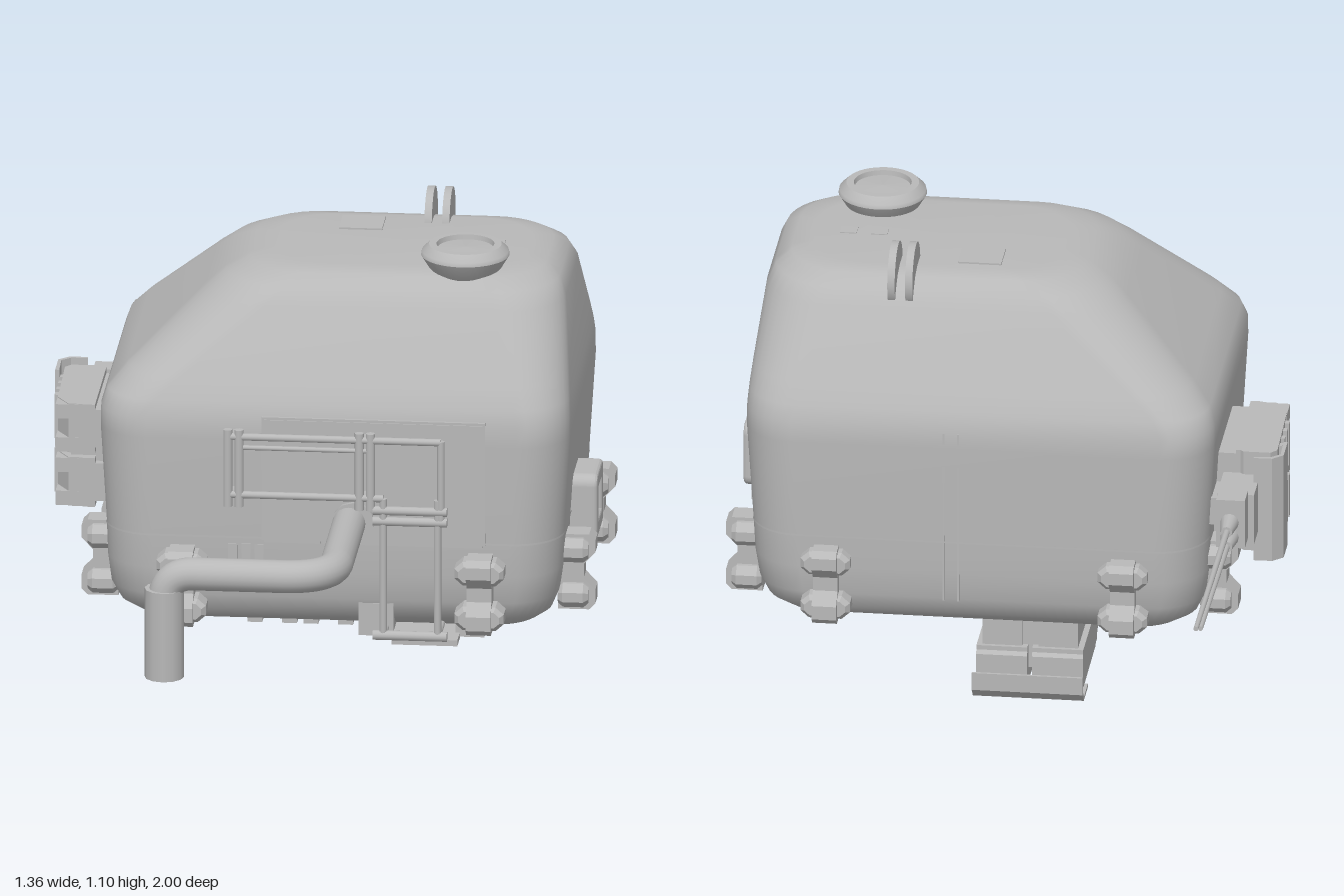
import * as THREE from 'three';

// Hull sections: y, xMin, xMax, zMin, zMax, corner radius
const SECTIONS = [
  [0.178, -0.40, 0.50, -0.26, 0.40, 0.10],
  [0.188, -0.44, 0.54, -0.30, 0.445, 0.11],
  [0.215, -0.475, 0.572, -0.333, 0.478, 0.12],
  [0.26, -0.495, 0.59, -0.352, 0.498, 0.12],
  [0.33, -0.503, 0.60, -0.36, 0.507, 0.12],
  [0.42, -0.506, 0.605, -0.362, 0.51, 0.12],
  [0.66, -0.52, 0.62, -0.367, 0.515, 0.12],
  [0.71, -0.519, 0.62, -0.363, 0.512, 0.12],
  [0.75, -0.505, 0.617, -0.349, 0.499, 0.125],
  [0.80, -0.46, 0.612, -0.322, 0.473, 0.135],
  [0.96, -0.285, 0.593, -0.228, 0.378, 0.16],
  [1.0, -0.235, 0.575, -0.20, 0.348, 0.16],
  [1.025, -0.18, 0.54, -0.165, 0.31, 0.155],
  [1.035, -0.12, 0.49, -0.12, 0.26, 0.14],
];

function loft(sections, capped) {
  const pos = [], idx = [], steps = 8, n = 4 * (steps + 1);
  for (const [y, x0, x1, z0, z1, r] of sections) {
    for (let c = 0; c < 4; c++) {
      const cx = c === 0 || c === 3 ? x1 - r : x0 + r;
      const cz = c < 2 ? z1 - r : z0 + r;
      for (let s = 0; s <= steps; s++) {
        const a = (c + s / steps) * Math.PI / 2;
        pos.push(cx + r * Math.cos(a), y, cz + r * Math.sin(a));
      }
    }
  }
  for (let i = 0; i < sections.length - 1; i++) {
    for (let j = 0; j < n; j++) {
      const k = (j + 1) % n, a = i * n, b = a + n;
      idx.push(a + j, b + j, a + k, b + j, b + k, a + k);
    }
  }
  if (capped) {
    const last = (sections.length - 1) * n, base = pos.length / 3;
    const mid = (s) => [(s[1] + s[2]) / 2, s[0], (s[3] + s[4]) / 2];
    pos.push(...mid(sections[0]), ...mid(sections[sections.length - 1]));
    for (let j = 0; j < n; j++) {
      const k = (j + 1) % n;
      idx.push(base, j, k, base + 1, last + k, last + j);
    }
  }
  const g = new THREE.BufferGeometry();
  g.setAttribute('position', new THREE.Float32BufferAttribute(pos, 3));
  g.setIndex(idx);
  g.computeVertexNormals();
  return g;
}

export function createModel() {
  const root = new THREE.Group();
  const grey = new THREE.MeshStandardMaterial({ color: 0xb8b8b8 });
  grey.name = 'hull grey';

  const add = (name, geo, parent = root) => {
    const m = new THREE.Mesh(geo, grey);
    m.name = name;
    parent.add(m);
    return m;
  };
  const group = (name) => {
    const g = new THREE.Group();
    g.name = name;
    root.add(g);
    return g;
  };
  // Box given by its extents on each axis
  const box = (name, x0, x1, y0, y1, z0, z1, parent = root) =>
    add(name, new THREE.BoxGeometry(x1 - x0, y1 - y0, z1 - z0)
      .translate((x0 + x1) / 2, (y0 + y1) / 2, (z0 + z1) / 2), parent);
  const rod = (name, a, b, r, parent, r2 = r) => {
    const p = new THREE.Vector3(...a), d = new THREE.Vector3(...b).sub(p);
    const m = add(name, new THREE.CylinderGeometry(r2, r, d.length(), 12), parent);
    m.position.copy(p).addScaledVector(d, 0.5);
    m.quaternion.setFromUnitVectors(new THREE.Vector3(0, 1, 0), d.normalize());
  };
  const shape = (pts) => new THREE.Shape(pts.map((p) => new THREE.Vector2(...p)));
  // Profile of [z, y] points extruded along x between x0 and x1
  const slab = (pts, x0, x1) =>
    new THREE.ExtrudeGeometry(shape(pts), { depth: x1 - x0, bevelEnabled: false })
      .rotateY(-Math.PI / 2).translate(x1, 0, 0);

  // Hull and the seams around it
  add('hull', loft(SECTIONS, true));
  const ring = (y) => [y, -0.5075, 0.6065, -0.3635, 0.5115, 0.121];
  add('waistSeam', loft([ring(0.411), ring(0.416)], false));
  box('sideSeam', 0.595, 0.602, 0.26, 0.41, -0.012, -0.007);
  for (const x of [0.09, 0.125]) box('backSeam', x, x + 0.005, 0.26, 0.7, -0.366, -0.359);
  box('keelPlate', -0.38, 0.46, 0.173, 0.18, 0.06, 0.38);

  // Front door, vents and step
  box('doorFrame', -0.118, 0.424, 0.41, 0.722, 0.505, 0.516);
  box('doorRight', -0.112, 0.024, 0.405, 0.716, 0.505, 0.519);
  box('doorLeft', 0.03, 0.418, 0.405, 0.716, 0.505, 0.519);
  for (let i = 0; i < 3; i++) box('vent', -0.2 + i * 0.032, -0.178 + i * 0.032, 0.355, 0.397, 0.5, 0.512);
  box('stepBracket', 0.115, 0.2, 0.168, 0.25, 0.40, 0.495);
  box('stepBracket', 0.35, 0.42, 0.17, 0.22, 0.40, 0.49);
  box('step', 0.2, 0.36, 0.165, 0.18, 0.42, 0.55);

  // Roof hatch: a flared bowl with a chamfered collar
  const hatch = group('roofHatch');
  const lathe = (name, pts) =>
    add(name, new THREE.LatheGeometry(pts.map((p) => new THREE.Vector2(...p)), 40), hatch);
  lathe('hatchBowl', [[0, -0.06], [0.05, -0.052], [0.08, -0.032], [0.107, 0.012]]);
  lathe('hatchCollar', [[0.107, 0.012], [0.105, 0.022], [0.088, 0.038]]);
  lathe('hatchRim', [[0.088, 0.038], [0.07, 0.038]]);
  lathe('hatchWell', [[0.07, 0.038], [0.068, 0.026]]);
  lathe('hatchLid', [[0.068, 0.026], [0, 0.03]]);
  hatch.position.set(0.35, 1.05, 0.24);

  // Roof lifting discs and small plates
  for (const x of [0.23, 0.273]) {
    const d = add('roofDisc', new THREE.CylinderGeometry(0.08, 0.08, 0.018, 32).rotateZ(Math.PI / 2));
    d.position.set(x, 1.02, -0.145);
  }
  for (const x of [0.335, 0.41]) box('roofPlate', x - 0.02, x + 0.02, 1.03, 1.037, 0.045, 0.08);
  box('roofPlate', 0.02, 0.125, 1.03, 1.039, -0.1, 0.0);

  // Bent pipe with a downturned outlet
  const pipe = group('pipe');
  const path = new THREE.CurvePath();
  const V = (x, z) => new THREE.Vector3(x, 0.463, z);
  path.add(new THREE.LineCurve3(V(0.095, 0.46), V(0.095, 0.84)));
  path.add(new THREE.QuadraticBezierCurve3(V(0.095, 0.84), V(0.09, 0.945), V(-0.02, 0.95)));
  path.add(new THREE.LineCurve3(V(-0.02, 0.95), V(-0.24, 0.95)));
  path.add(new THREE.QuadraticBezierCurve3(V(-0.24, 0.95), V(-0.313, 0.95),
    new THREE.Vector3(-0.313, 0.39, 0.95)));
  add('pipeRun', new THREE.TubeGeometry(path, 90, 0.04, 20), pipe);
  rod('pipeOutlet', [-0.313, 0.2, 0.95], [-0.313, 0.425, 0.95], 0.048, pipe);
  rod('pipeFlange', [0.105, 0.463, 0.5], [0.105, 0.463, 0.53], 0.052, pipe);

  // Handrail and ladder on the front
  const rail = group('handrail');
  const Z = 0.55;
  const bar = (x0, y0, x1, y1, r = 0.009) => rod('railBar', [x0, y0, Z], [x1, y1, Z], r, rail);
  for (const x of [-0.197, -0.17, 0.122, 0.149]) bar(x, 0.505, x, 0.7, 0.011);
  bar(-0.2, 0.682, 0.32, 0.682);
  bar(-0.2, 0.535, 0.18, 0.535);
  bar(-0.16, 0.655, 0.15, 0.655, 0.006);
  bar(0.32, 0.685, 0.32, 0.48);
  for (const y of [0.478, 0.505]) bar(0.155, y, 0.335, y, 0.011);
  for (const x of [0.18, 0.312]) bar(x, 0.535, x, 0.185);
  bar(0.155, 0.188, 0.335, 0.188, 0.012);
  for (const [x, y] of [[-0.185, 0.68], [-0.185, 0.535], [0.135, 0.68], [0.135, 0.535],
    [0.18, 0.49], [0.312, 0.49], [0.18, 0.19], [0.312, 0.19]])
    rod('railStandoff', [x, y, 0.45], [x, y, Z], 0.009, rail);

  // Twin-lobed clamps, two on each side
  const spine = [[0, 0.2], [0.075, 0.2], [0.09, 0.215], [0.09, 0.25], [0.062, 0.28],
    [0.062, 0.315], [0.09, 0.345], [0.09, 0.375], [0.075, 0.39], [0, 0.39]];
  const hex = shape([[-0.06, -0.012], [-0.04, -0.03], [0.04, -0.03], [0.06, -0.012],
    [0.06, 0.012], [0.04, 0.03], [-0.04, 0.03], [-0.06, 0.012]]);
  const clamp = (x, z, angle) => {
    const g = group('clamp');
    add('clampSpine', slab(spine, -0.03, 0.03), g);
    for (const y of [0.238, 0.352]) {
      const lobe = add('clampLobe', new THREE.ExtrudeGeometry(hex, {
        depth: 0.05, bevelThickness: 0.012, bevelSize: 0.01, bevelOffset: -0.01, bevelSegments: 1,
      }), g);
      lobe.position.set(0, y, 0.012);
    }
    g.position.set(x, 0, z);
    g.rotation.y = angle;
  };
  for (const x of [-0.31, 0.413]) {
    clamp(x, 0.492, 0);
    clamp(x, -0.325, Math.PI);
  }
  for (const z of [-0.195, 0.312]) {
    clamp(0.585, z, Math.PI / 2);
    clamp(-0.482, z, -Math.PI / 2);
  }

  // Square port on the left side
  const port = group('sidePort');
  const rounded = (h, r) => {
    const s = new THREE.Shape();
    for (let c = 0; c < 4; c++)
      s.absarc((c === 0 || c === 3 ? 1 : -1) * (h - r), (c < 2 ? 1 : -1) * (h - r), r,
        c * Math.PI / 2, (c + 1) * Math.PI / 2);
    return s;
  };
  const frame = rounded(0.074, 0.02);
  frame.holes.push(rounded(0.046, 0.008));
  add('portFrame', new THREE.ExtrudeGeometry(frame, {
    depth: 0.06, bevelThickness: 0.012, bevelSize: 0.008, bevelSegments: 3,
  }), port);
  box('portPane', -0.05, 0.05, -0.05, 0.05, 0, 0.05, port);
  port.position.set(0.597, 0.42, 0.152);
  port.rotation.y = Math.PI / 2;

  // Equipment units hanging below the hull and on the right side
  const lower = [[0.15, -0.06], [0.15, -0.125], [0.1, -0.155], [-0.13, -0.16],
    [-0.148, -0.145], [-0.148, -0.08], [-0.13, -0.06]];
  const hook = [[-0.09, -0.17], [-0.165, -0.172], [-0.185, -0.15], [-0.188, -0.11],
    [-0.195, -0.11], [-0.194, -0.155], [-0.17, -0.18], [-0.09, -0.18]];
  const unit = (name) => {
    const g = group(name);
    for (const s of [-1, 1]) {
      const c = s * 0.068;
      add('unitBlock', slab(lower, c - 0.062, c + 0.062), g);
      box('unitNeck', c - 0.048, c + 0.048, -0.065, 0.02, -0.13, 0.15, g);
      box('unitSill', c - 0.062, c + 0.062, -0.09, -0.06, -0.14, 0.154, g);
      for (const e of [-1, 1])
        box('unitFoot', c + e * 0.042 - 0.018, c + e * 0.042 + 0.018, -0.156, -0.1, 0.08, 0.152, g);
      for (let i = 0; i < 4; i++)
        box('unitSlat', c - 0.055, c + 0.055, -0.167, -0.15, -0.09 + i * 0.045, -0.07 + i * 0.045, g);
    }
    box('unitCore', -0.02, 0.02, -0.12, 0.02, -0.12, 0.13, g);
    add('unitHook', slab(hook, -0.135, 0.135), g);
    return g;
  };
  unit('bellyUnit').position.set(-0.075, 0.18, -0.165);
  const side = unit('sideUnit');
  side.position.set(-0.5, 0.48, -0.03);
  side.rotation.z = -Math.PI / 2;

  // Twin antenna and its mount
  const antenna = group('antenna');
  box('antennaMount', -0.62, -0.53, 0.42, 0.55, -0.3, -0.17, antenna);
  box('antennaArm', -0.6, -0.5, 0.45, 0.52, -0.26, -0.12, antenna);
  box('antennaHead', -0.605, -0.535, 0.435, 0.56, -0.36, -0.3, antenna);
  for (const [y, z] of [[0.502, -1], [0.463, -0.91]]) {
    rod('antennaSocket', [-0.568, y, -0.35], [-0.568, y, -0.42], 0.024, antenna, 0.014);
    rod('antennaWhip', [-0.568, y, -0.4], [-0.565, y, z], 0.008, antenna, 0.006);
  }
  return root;
}
